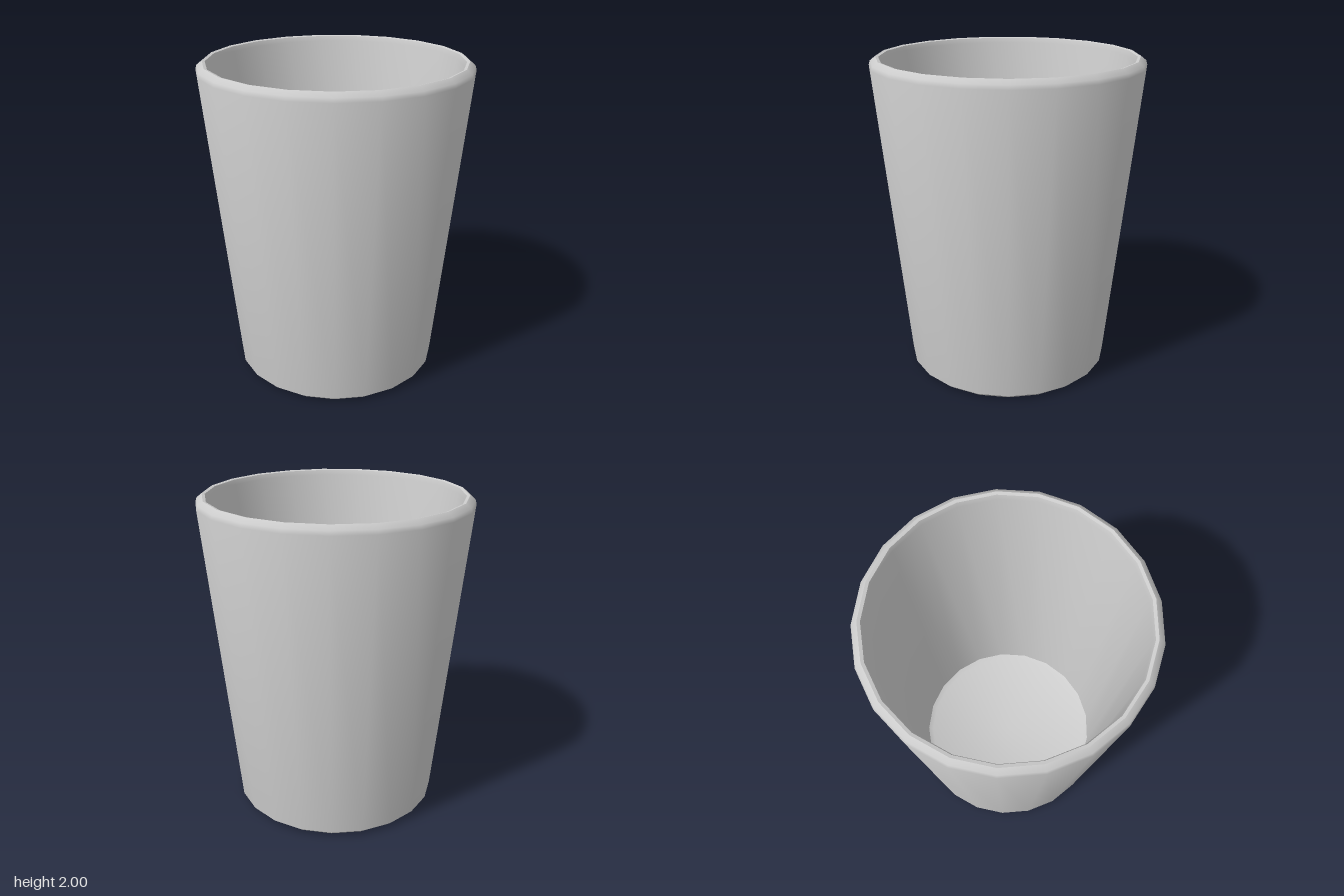
import * as THREE from 'three';
import { toCreasedNormals } from 'three/addons/utils/BufferGeometryUtils.js';

const SIDES = 21;

// Closed cup profile (radius, height): underside, outer wall, rolled rim, inner wall, floor
const PROFILE = [
  [0, 0], [0.61, 0], [0.645, 0.03],
  [0.83, 1.95], [0.822, 1.975], [0.79, 2], [0.772, 1.995], [0.762, 1.965],
  [0.6, 0.08], [0.57, 0.06], [0, 0.06],
];

export function createModel() {
  const group = new THREE.Group();
  group.name = 'tumbler';

  const points = PROFILE.map(([r, y]) => new THREE.Vector2(r, y));
  const lathe = new THREE.LatheGeometry(points, SIDES);
  const cup = new THREE.Mesh(
    toCreasedNormals(lathe, 0.75),
    new THREE.MeshStandardMaterial({ color: 0xcccccc }),
  );
  cup.name = 'cup';
  group.add(cup);
  return group;
}
